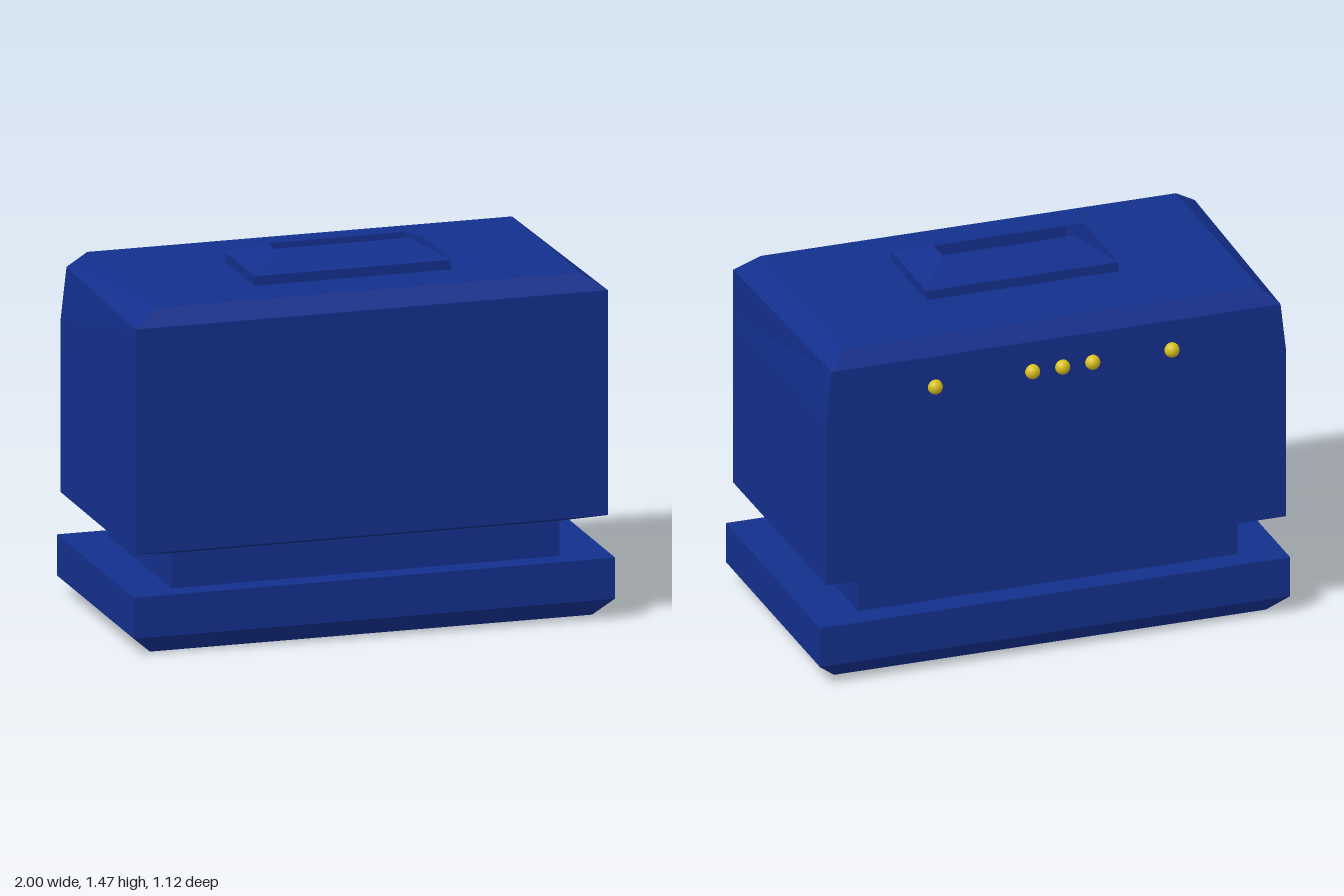
import * as THREE from 'three';

const blue = new THREE.MeshStandardMaterial({ color: 0x132f8c, flatShading: true });
const gold = new THREE.MeshStandardMaterial({ color: 0xd8c020 });

// The whole box leans very slightly: every point goes through this skew
const skew = (x, y, z) => [x - 0.037 * z, y + 0.007 * x, z - 0.005 * x];

// Stack of rectangular sections [y, halfWidthFront, halfWidthBack, zFront, zBack],
// shifted sideways by cx, skinned together and capped at both ends
function loft(name, sections, cx = 0) {
  const rings = sections.map(([y, wf, wb, zf, zb]) => [
    skew(cx - wf, y, zf), skew(cx + wf, y, zf), skew(cx + wb, y, zb), skew(cx - wb, y, zb),
  ]);
  const pos = [];
  const quad = (a, b, c, d) => pos.push(...a, ...b, ...c, ...a, ...c, ...d);
  for (let r = 0; r < rings.length - 1; r++) {
    for (let i = 0; i < 4; i++) {
      const j = (i + 1) % 4;
      quad(rings[r][i], rings[r][j], rings[r + 1][j], rings[r + 1][i]);
    }
  }
  const [b, t] = [rings[0], rings[rings.length - 1]];
  quad(b[3], b[2], b[1], b[0]);
  quad(t[0], t[1], t[2], t[3]);
  const geo = new THREE.BufferGeometry();
  geo.setAttribute('position', new THREE.Float32BufferAttribute(pos, 3));
  geo.computeVertexNormals();
  const mesh = new THREE.Mesh(geo, blue);
  mesh.name = name;
  return mesh;
}

export function createModel() {
  const model = new THREE.Group();
  model.name = 'box';

  // Plinth with a bevelled underside
  model.add(loft('base', [
    [0.006, 0.9, 0.9, 0.505, -0.48],
    [0.075, 0.98, 0.98, 0.555, -0.54],
    [0.238, 0.98, 0.98, 0.555, -0.54],
  ]));

  // Recessed neck between plinth and body
  model.add(loft('neck', [
    [0.23, 0.79, 0.79, 0.455, -0.435],
    [0.39, 0.79, 0.79, 0.455, -0.435],
  ], -0.007));

  // Body: sloped underside, bevelled top, rear corners pinched near the top
  model.add(loft('body', [
    [0.378, 0.79, 0.79, 0.455, -0.435],
    [0.408, 0.962, 0.958, 0.548, -0.527],
    [1.1, 0.962, 0.958, 0.548, -0.527],
    [1.303, 0.962, 0.935, 0.548, -0.525],
    [1.368, 0.865, 0.865, 0.495, -0.475],
  ], -0.01));

  // Raised lid collar; its last sections turn inward to form the slot
  model.add(loft('slottedCollar', [
    [1.36, 0.4, 0.4, 0.275, -0.14],
    [1.406, 0.4, 0.4, 0.275, -0.14],
    [1.47, 0.275, 0.275, 0.125, 0.027],
    [1.39, 0.275, 0.275, 0.123, 0.03],
  ], -0.008));

  // Row of round studs along the upper back
  const studs = new THREE.Group();
  studs.name = 'backStuds';
  for (const x of [-0.47, -0.14, -0.015, 0.11, 0.515]) {
    const stud = new THREE.Mesh(new THREE.SphereGeometry(0.03, 20, 14), gold);
    stud.name = 'stud';
    stud.position.set(x, 1.18, -0.53);
    studs.add(stud);
  }
  model.add(studs);
  return model;
}
